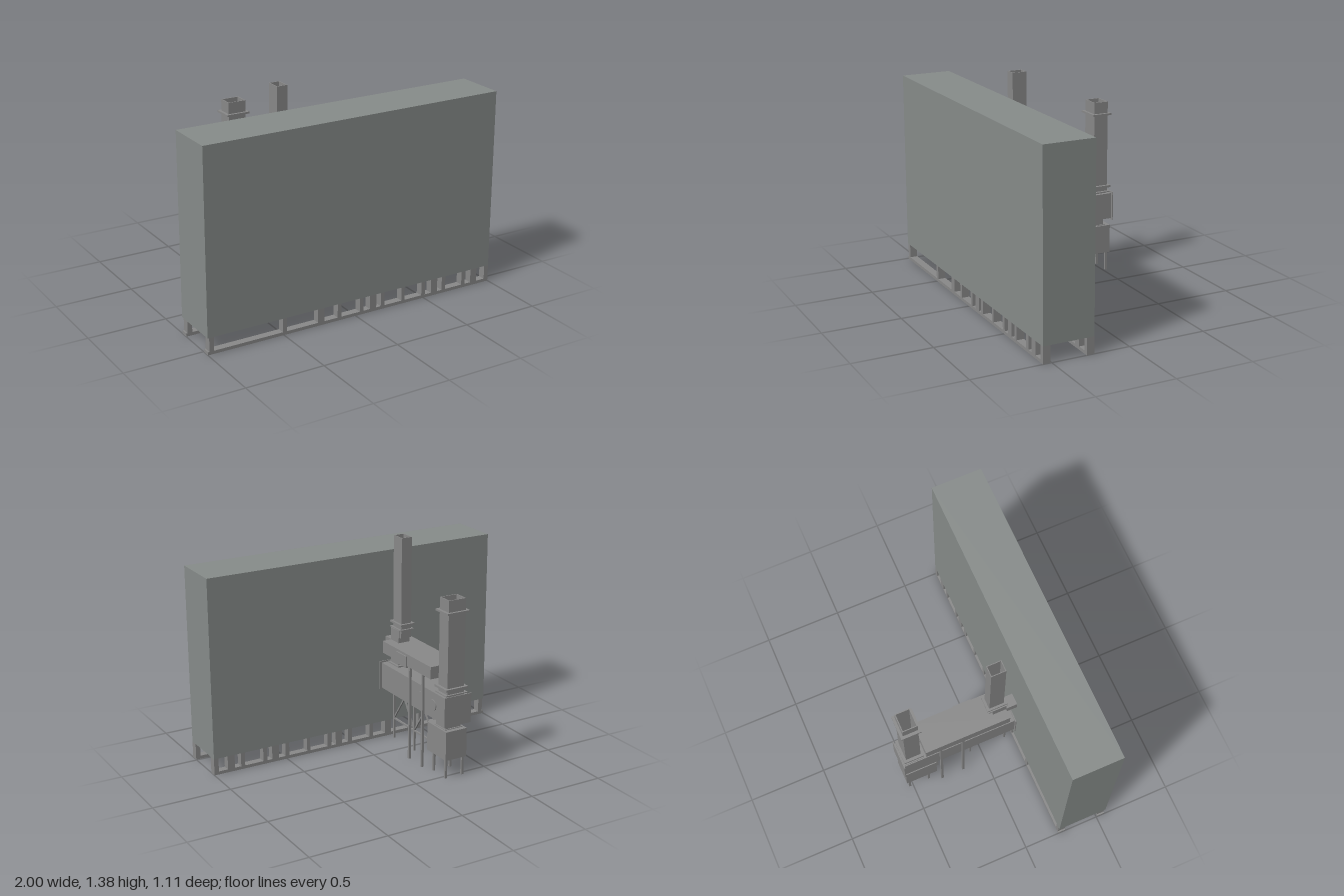
import * as THREE from 'three';

const grey = new THREE.MeshStandardMaterial({ color: 0x898989, flatShading: true });
const panel = new THREE.MeshStandardMaterial({ color: 0x878c8a, flatShading: true });
const CX = -0.26; // centre line of the duct system

export function createModel() {
  const root = new THREE.Group();
  const group = (name) => {
    const g = new THREE.Group();
    g.name = name;
    root.add(g);
    return g;
  };
  // Box given by its extents along each axis
  const box = (parent, name, [x0, x1], [y0, y1], [z0, z1], mat = grey) => {
    const m = new THREE.Mesh(new THREE.BoxGeometry(x1 - x0, y1 - y0, z1 - z0), mat);
    m.position.set((x0 + x1) / 2, (y0 + y1) / 2, (z0 + z1) / 2);
    m.name = name;
    parent.add(m);
  };
  const mid = (c, w) => [c - w / 2, c + w / 2];
  // Square bar between two points in the plane of constant x
  const bar = (parent, name, x, [za, ya], [zb, yb], t) => {
    const len = Math.hypot(zb - za, yb - ya);
    const m = new THREE.Mesh(new THREE.BoxGeometry(t, t, len), grey);
    m.position.set(x, (ya + yb) / 2, (za + zb) / 2);
    m.rotation.x = -Math.atan2(yb - ya, zb - za);
    m.name = name;
    parent.add(m);
  };
  // Open rectangular duct standing upright
  const tube = (parent, name, w, d, y0, y1, z, wall) => {
    const rect = (P, a, b) => {
      const p = new P();
      p.moveTo(-a, -b);
      p.lineTo(a, -b);
      p.lineTo(a, b);
      p.lineTo(-a, b);
      p.closePath();
      return p;
    };
    const s = rect(THREE.Shape, w / 2, d / 2);
    s.holes.push(rect(THREE.Path, w / 2 - wall, d / 2 - wall));
    const geo = new THREE.ExtrudeGeometry(s, { depth: y1 - y0, bevelEnabled: false });
    geo.rotateX(-Math.PI / 2);
    const m = new THREE.Mesh(geo, grey);
    m.position.set(CX, y0, z);
    m.name = name;
    parent.add(m);
  };

  // Large enclosure
  box(root, 'enclosure', [-1, 1], [0.107, 1.258], [0.23, 0.555], panel);

  // Two base rails with short posts
  const base = group('baseFrame');
  const posts = [[-0.975, 0.03], [-0.493, 0.027], [-0.243, 0.045], [-0.115, 0.027], [0.043, 0.027],
    [0.125, 0.047], [0.195, 0.027], [0.345, 0.022], [0.497, 0.027], [0.58, 0.047],
    [0.652, 0.027], [0.805, 0.027], [0.885, 0.047], [0.985, 0.03]];
  for (const z of [[0.23, 0.278], [0.507, 0.555]]) {
    box(base, 'baseRail', [-1, 1], [0, 0.02], z);
    for (const [x, w] of posts) box(base, 'post', mid(x, w), [0.02, 0.107], z);
  }

  // Lower horizontal duct with end flanges and round side ports
  const lower = group('lowerDuct');
  box(lower, 'ductBody', mid(CX, 0.165), [0.358, 0.528], [-0.545, 0.2]);
  for (const z of [0.203, -0.549]) box(lower, 'endFlange', mid(CX, 0.19), [0.348, 0.538], mid(z, 0.006));
  for (const [z, r] of [[-0.263, 0.042], [-0.405, 0.036]]) {
    const port = new THREE.Mesh(new THREE.CylinderGeometry(r, r, 0.008, 32), grey);
    port.rotation.z = Math.PI / 2;
    port.position.set(CX + 0.084, 0.445, z);
    port.name = 'roundPort';
    lower.add(port);
  }

  // Upper horizontal duct joining the enclosure
  const upper = group('upperDuct');
  box(upper, 'ductBody', [-0.362, -0.157], [0.614, 0.692], [-0.405, 0.155]);
  box(upper, 'wallConnection', mid(CX, 0.075), [0.635, 0.692], [0.15, 0.232]);
  box(upper, 'sideBox', [-0.165, -0.148], [0.603, 0.678], [-0.137, -0.02]);

  // Narrow stack with offset base
  const narrow = group('narrowStack');
  box(narrow, 'lowerNeck', mid(CX, 0.08), [0.528, 0.62], [0.065, 0.157]);
  box(narrow, 'neckFlange', mid(CX, 0.11), [0.537, 0.544], [0.05, 0.172]);
  box(narrow, 'offsetBase', mid(CX, 0.08), [0.69, 0.772], [0.065, 0.157]);
  box(narrow, 'stackFoot', mid(CX, 0.072), [0.728, 0.797], [0.042, 0.137]);
  tube(narrow, 'stack', 0.072, 0.095, 0.787, 1.378, 0.0895, 0.005);
  box(narrow, 'thinFlange', mid(CX, 0.1), [0.781, 0.787], [0.03, 0.155]);
  tube(narrow, 'stackFlange', 0.1, 0.13, 0.812, 0.824, 0.089, 0.016);

  // Wide stack at the back end
  const wide = group('wideStack');
  tube(wide, 'stack', 0.12, 0.097, 0.528, 1.134, -0.476, 0.006);
  for (const [y, h, d] of [[1.055, 0.012, 0.13], [0.575, 0.014, 0.13], [0.54, 0.006, 0.12]])
    tube(wide, 'stackFlange', 0.157, d, y - h / 2, y + h / 2, -0.476, 0.02);

  // Collection box under the back end
  const hopper = group('collectionBox');
  box(hopper, 'neck', mid(CX, 0.11), [0.31, 0.36], mid(-0.452, 0.102));
  box(hopper, 'neckFlange', mid(CX, 0.125), [0.308, 0.314], mid(-0.452, 0.12));
  box(hopper, 'bin', mid(CX, 0.15), [0.123, 0.31], [-0.542, -0.333]);
  for (const x of [-0.06, 0.06])
    for (const z of [-0.388, -0.521]) box(hopper, 'binLeg', mid(CX + x, 0.014), [0, 0.125], mid(z, 0.014));

  // Single braced truss on the duct centre line, flanked by tall legs
  const frame = group('supportFrame');
  const zig = [[0.178, 0.14], [0.055, 0.313], [-0.067, 0.14], [-0.187, 0.313], [-0.302, 0.14]];
  for (const z of [0.178, -0.067, -0.302]) box(frame, 'frameLeg', mid(CX, 0.014), [0, 0.36], mid(z, 0.012));
  for (const y of [0.137, 0.316]) bar(frame, 'rail', CX, [0.178, y], [-0.302, y], 0.01);
  for (let i = 0; i < 4; i++) bar(frame, 'diagonalBrace', CX, zig[i], zig[i + 1], 0.009);
  for (const s of [-1, 1])
    for (const z of [-0.157, -0.305]) box(frame, 'tallLeg', mid(CX + s * 0.093, 0.015), [0, 0.617], mid(z, 0.015));

  return root;
}
